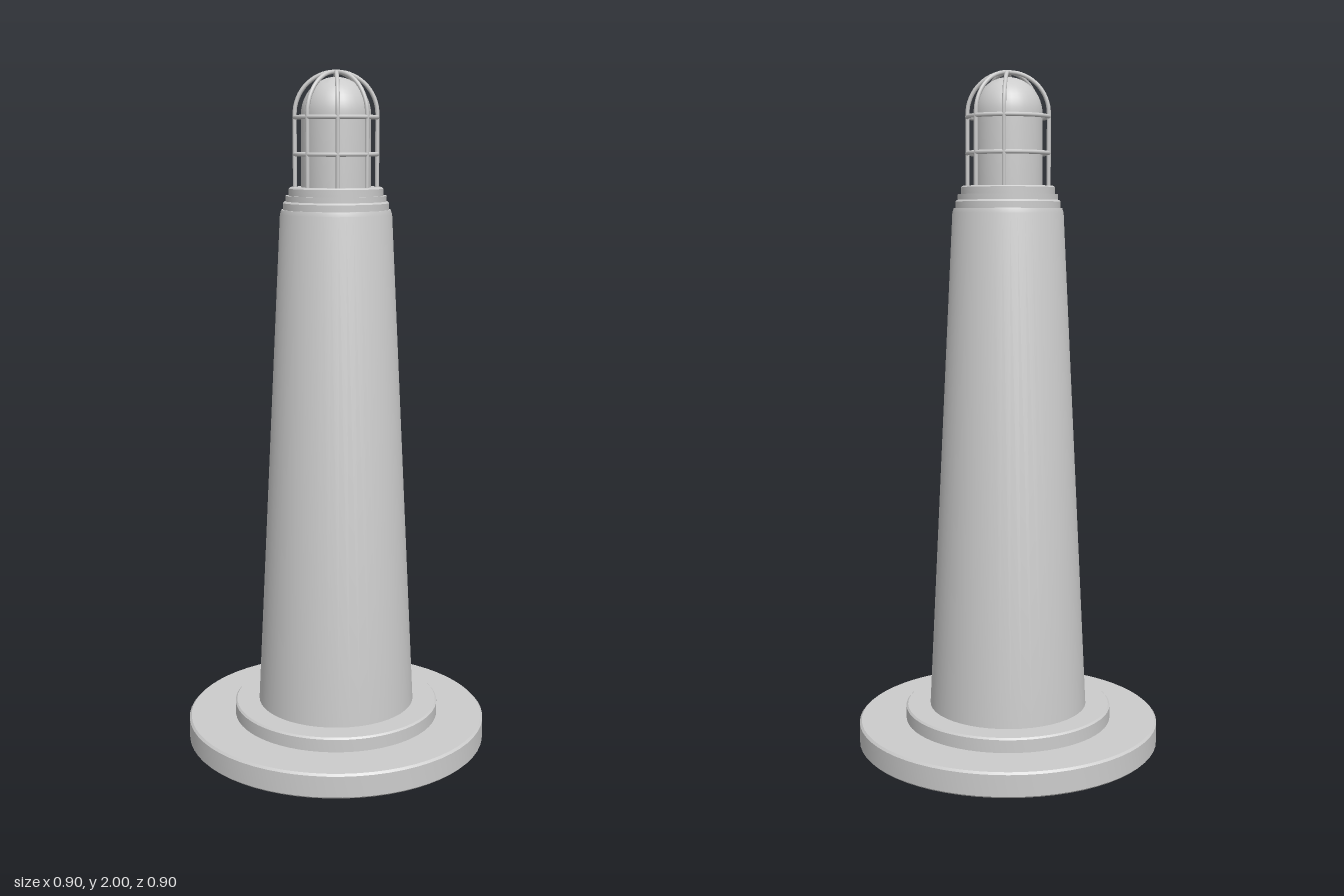
import * as THREE from 'three';
import { toCreasedNormals } from 'three/addons/utils/BufferGeometryUtils.js';

const material = new THREE.MeshStandardMaterial({ color: 0xcccccc });

function addMesh(parent, name, geometry) {
  const mesh = new THREE.Mesh(geometry, material);
  mesh.name = name;
  parent.add(mesh);
  return mesh;
}

// Solid of revolution from [radius, height] pairs, bottom to top, with sharp rims
function turned(points, sides = 48) {
  const profile = points.map(([r, y]) => new THREE.Vector2(r, y));
  return toCreasedNormals(new THREE.LatheGeometry(profile, sides), 0.6);
}

export function createModel() {
  const model = new THREE.Group();
  model.name = 'beaconPost';

  // Stepped round foot
  addMesh(model, 'basePlate', turned([[0, 0], [0.447, 0], [0.452, 0.005], [0.452, 0.068], [0.446, 0.074], [0, 0.074]], 64));
  addMesh(model, 'baseStep', turned([[0.31, 0.07], [0.31, 0.112], [0.305, 0.117], [0, 0.117]], 64));

  // Tapered column with a chamfered top
  addMesh(model, 'column', turned([[0.237, 0.11], [0.162, 1.595], [0.158, 1.608], [0, 1.608]]));

  // Collar rings under the lamp
  addMesh(model, 'lowerCollar', turned([[0.153, 1.6], [0.153, 1.627], [0.148, 1.632], [0, 1.632]]));
  addMesh(model, 'middleCollar', turned([[0.146, 1.625], [0.146, 1.648], [0, 1.648]]));
  addMesh(model, 'upperCollar', turned([[0.136, 1.645], [0.136, 1.668], [0.132, 1.672], [0, 1.672]]));

  // Domed lamp glass
  const glass = [[0.1, 1.665]];
  for (let i = 0; i <= 12; i++) {
    const a = (i / 12) * Math.PI / 2;
    glass.push([0.1 * Math.cos(a), 1.875 + 0.105 * Math.sin(a)]);
  }
  addMesh(model, 'lampGlass', turned(glass, 32));

  // Wire cage: two hoops, and ribs that bend over the dome
  const cage = new THREE.Group();
  cage.name = 'lampCage';
  model.add(cage);
  const cageRadius = 0.118, wire = 0.006, shoulder = 1.876;

  for (const y of [1.765, 1.868]) {
    const hoop = addMesh(cage, 'cageHoop', new THREE.TorusGeometry(cageRadius, wire, 8, 48));
    hoop.rotation.x = Math.PI / 2;
    hoop.position.y = y;
  }

  const path = [1.66, 1.73, 1.8, 1.85].map(y => new THREE.Vector3(cageRadius, y, 0));
  for (let i = 0; i <= 8; i++) {
    const a = (i / 8) * Math.PI / 2;
    path.push(new THREE.Vector3(cageRadius * Math.cos(a), shoulder + cageRadius * Math.sin(a), 0));
  }
  const ribGeometry = new THREE.TubeGeometry(new THREE.CatmullRomCurve3(path), 32, wire, 8);
  for (let i = 0; i < 8; i++) {
    if (i === 4) continue; // the -x side is left open
    addMesh(cage, 'cageRib', ribGeometry).rotation.y = (i * Math.PI) / 4;
  }

  return model;
}
